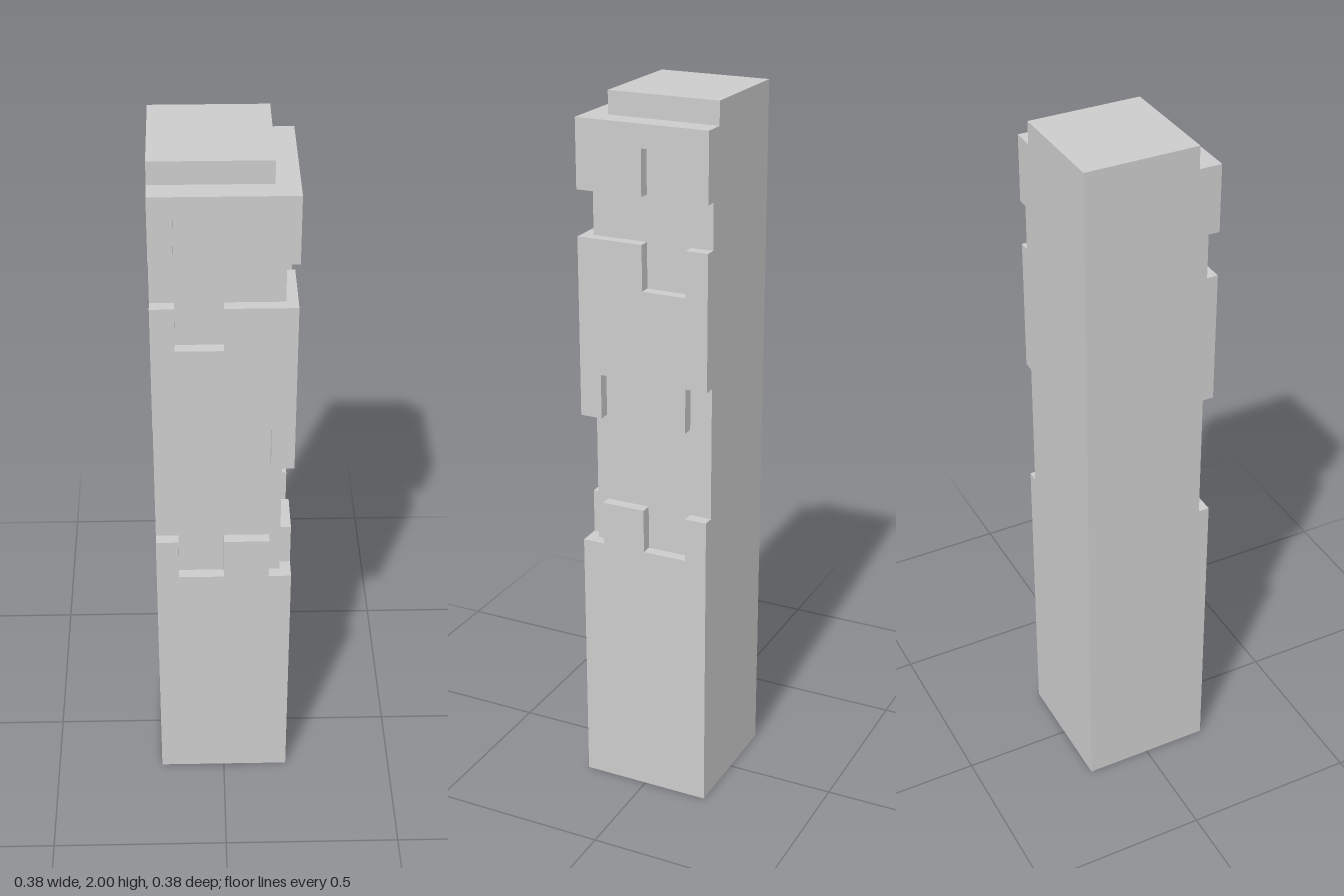
import * as THREE from 'three';

const HALF = 0.1875;          // half width of the pillar
const RELIEF = 0.03125;       // thickness of the raised panels
const CORE = HALF - RELIEF;   // where the panels meet the core

// Raised bands: outlines as [distance along the face, height], with the corner at HALF
const bands = {
  base: [
    [-HALF, 0], [HALF, 0], [HALF, 0.75], [0.125, 0.75], [0.125, 0.875],
    [0, 0.875], [0, 0.75], [-0.125, 0.75], [-0.125, 0.875], [-HALF, 0.875],
  ],
  middle: [
    [-HALF, 1.25], [-0.125, 1.25], [-0.125, 1.125], [0, 1.125], [0, 1.25],
    [0.125, 1.25], [0.125, 1.125], [HALF, 1.125], [HALF, 1.625], [0, 1.625],
    [0, 1.5], [-0.125, 1.5], [-0.125, 1.625], [-HALF, 1.625],
  ],
  upper: [
    [-HALF, 1.75], [-0.125, 1.75], [-0.125, 1.875], [0, 1.875], [0, 1.75],
    [HALF, 1.75], [HALF, 1.9375], [-HALF, 1.9375],
  ],
};

export function createModel() {
  const model = new THREE.Group();
  model.name = 'notchedPillar';
  const material = new THREE.MeshStandardMaterial({ color: 0xcccccc, flatShading: true });

  const add = (name, geometry) => {
    const mesh = new THREE.Mesh(geometry, material);
    mesh.name = name;
    model.add(mesh);
    return mesh;
  };

  // Square block sharing the flat back and right-hand sides of the pillar
  const block = (name, end, y0, y1) => {
    const size = end + HALF;
    const centre = (end - HALF) / 2;
    add(name, new THREE.BoxGeometry(size, y1 - y0, size)).position.set(centre, (y0 + y1) / 2, centre);
  };
  block('core', CORE, 0, 1.9375);
  block('cap', 0.125, 1.9375, 2);

  const panel = (name, points) => {
    const shape = new THREE.Shape(points.map(([u, y]) => new THREE.Vector2(u, y)));
    return add(name, new THREE.ExtrudeGeometry(shape, { depth: RELIEF, bevelEnabled: false }));
  };

  for (const [name, outline] of Object.entries(bands)) {
    // Front panel runs right through the corner
    panel(`${name}FrontPanel`, outline).position.z = CORE;

    // Side panel is its mirror image, ending against the front panel
    const side = panel(`${name}SidePanel`, outline.map(([u, y]) => [-Math.min(u, CORE), y]));
    side.rotation.y = Math.PI / 2;
    side.position.x = CORE;
  }

  return model;
}
